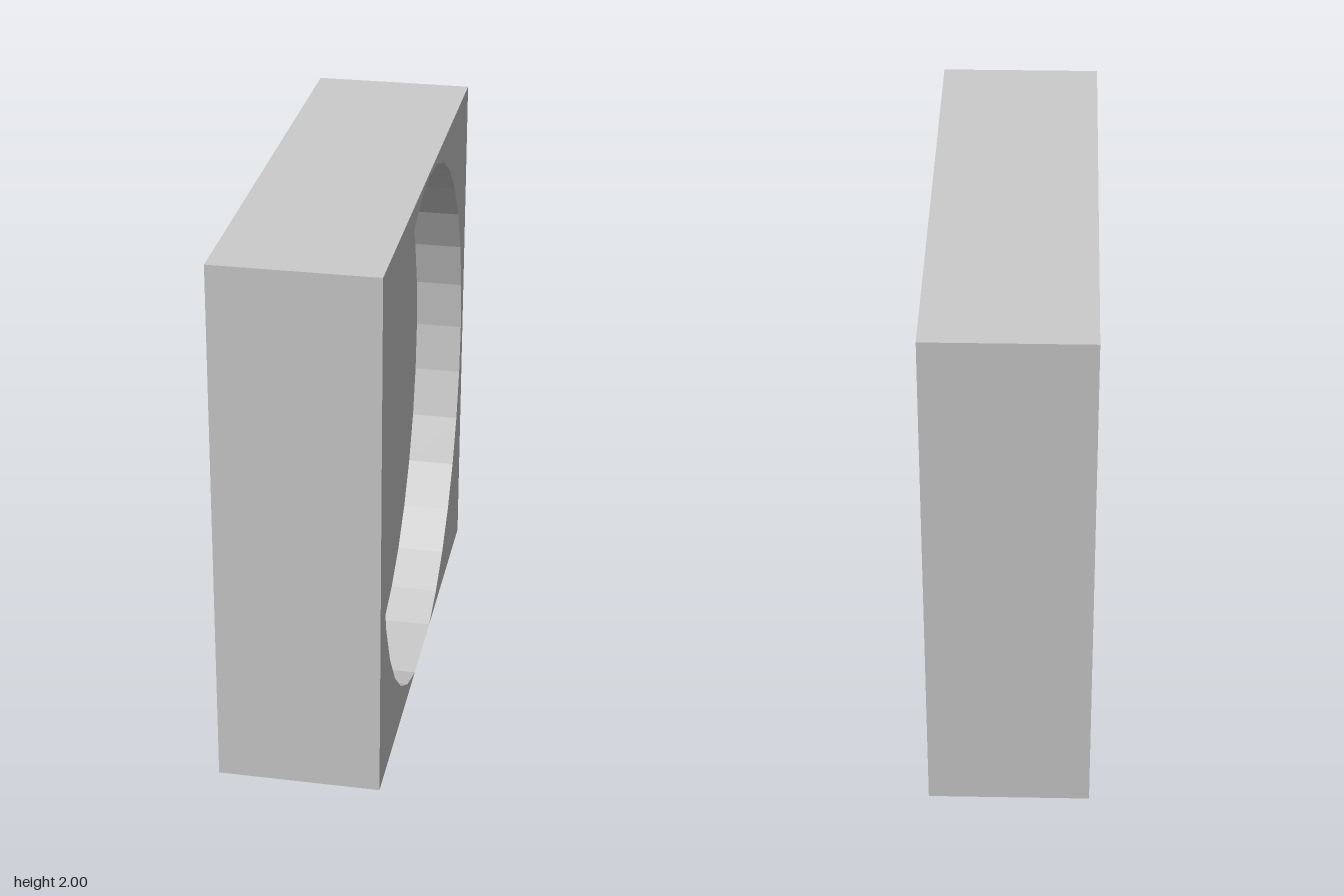
import * as THREE from 'three';

const HALF_X = 0.293, HALF_Z = 0.96, BOTTOM = 0.02, TOP = 2;
const WEB = 0.112;                            // half thickness of the central wheel
const RZ = 0.912, RY = 0.993, SIDES = 32;     // wheel and recess radii
const SLOT = 0.575, SLOT_Y = 0.228;           // half length of floor slot, height where it meets the wheel

export function createModel() {
  const group = new THREE.Group();
  const material = new THREE.MeshStandardMaterial({
    color: 0xcccccc, flatShading: true, side: THREE.DoubleSide,
  });
  const add = (name, geometry) => {
    const mesh = new THREE.Mesh(geometry, material);
    mesh.name = name;
    group.add(mesh);
  };

  // Square frame slice (drawn in z, y) with the round opening cut away, from x0 to x1
  const frame = (name, x0, x1, skip, mouth) => {
    const points = [[-HALF_Z, BOTTOM], ...mouth.map(([z, y]) => [-z, y])];
    for (let i = skip; i <= SIDES - skip; i++) {
      const a = (i / SIDES) * Math.PI * 2;
      points.push([-RZ * Math.sin(a), Math.max(BOTTOM, RY - RY * Math.cos(a))]);
    }
    points.push(...[...mouth].reverse(), [HALF_Z, BOTTOM], [HALF_Z, TOP], [-HALF_Z, TOP]);
    const shape = new THREE.Shape(points.map(([z, y]) => new THREE.Vector2(z, y)));
    const geometry = new THREE.ExtrudeGeometry(shape, { depth: x1 - x0, bevelEnabled: false });
    geometry.rotateY(-Math.PI / 2).translate(x1, 0, 0);
    add(name, geometry);
  };

  frame('leftFrame', WEB, HALF_X, 1, []);
  frame('rightFrame', -HALF_X, -WEB, 1, []);
  frame('middleFrame', -WEB, WEB, 4, [[SLOT, BOTTOM], [SLOT, SLOT_Y]]);

  // Wheel between the recesses, poking slightly through the floor slot
  const wheel = new THREE.CylinderGeometry(1, 1, WEB * 2, SIDES);
  wheel.rotateZ(Math.PI / 2).scale(1, RY, RZ).translate(0, RY, 0);
  add('wheel', wheel);

  // Thin floor strips closing the lowest point of each recess
  const stripWidth = HALF_X - WEB;
  const stripLength = 2 * RZ * Math.sin((Math.PI * 2) / SIDES);
  for (const [name, side] of [['leftFloorStrip', 1], ['rightFloorStrip', -1]]) {
    const strip = new THREE.PlaneGeometry(stripWidth, stripLength);
    strip.rotateX(-Math.PI / 2).translate(side * (WEB + stripWidth / 2), BOTTOM, 0);
    add(name, strip);
  }
  return group;
}
